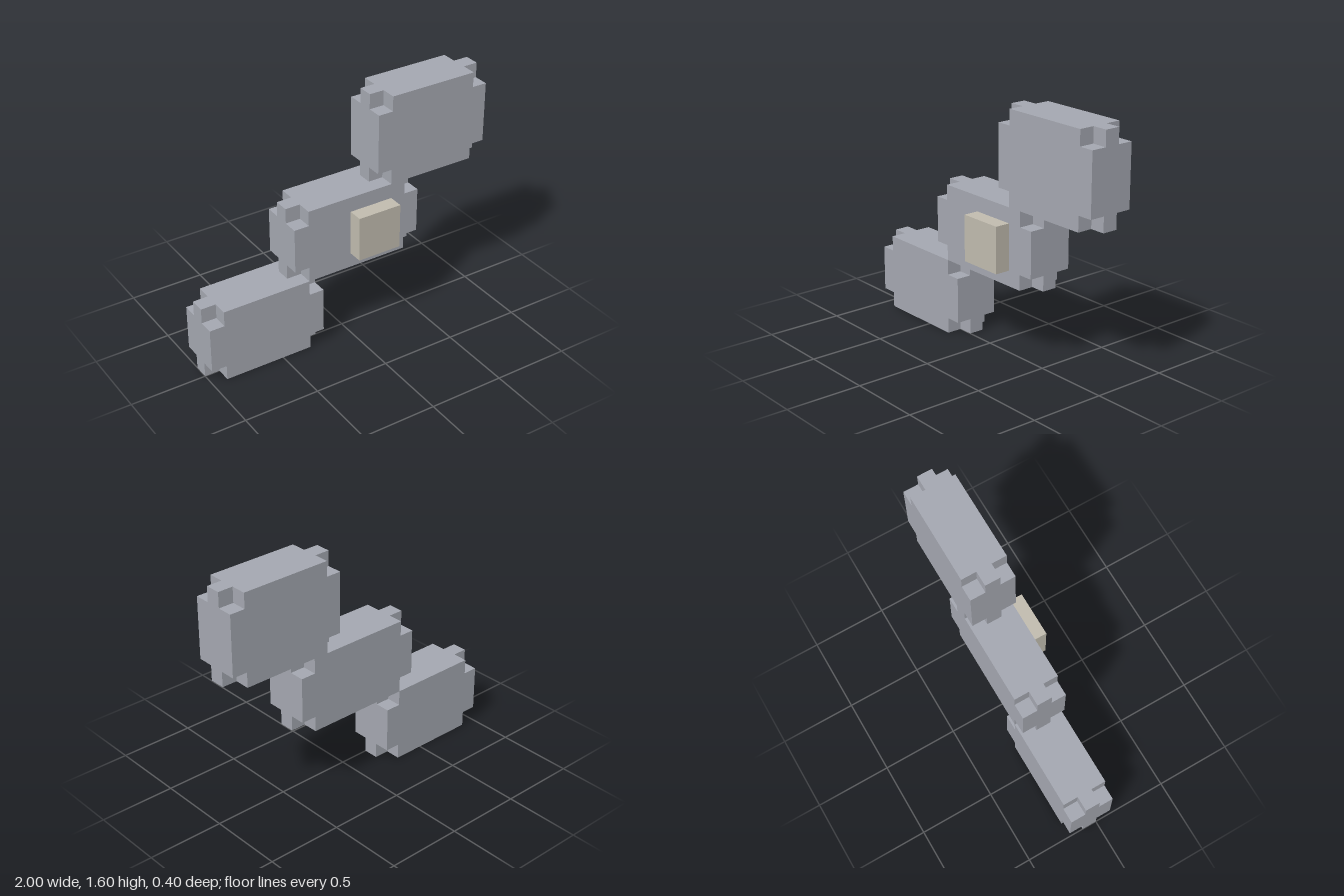
import * as THREE from 'three';
import { mergeGeometries } from 'three/addons/utils/BufferGeometryUtils.js';

const NOTCH = 0.1;

// One side of a notched block: a plus-shaped face with four recessed corner squares.
function notchedSide(w, h, offset) {
  const a = w / 2, b = h / 2, n = NOTCH;
  const plus = new THREE.Shape([
    [-a + n, -b], [a - n, -b], [a - n, -b + n], [a, -b + n],
    [a, b - n], [a - n, b - n], [a - n, b], [-a + n, b],
    [-a + n, b - n], [-a, b - n], [-a, -b + n], [-a + n, -b + n],
  ].map(([x, y]) => new THREE.Vector2(x, y)));
  const parts = [new THREE.ShapeGeometry(plus).translate(0, 0, offset)];
  for (const sx of [-1, 1]) {
    for (const sy of [-1, 1]) {
      const corner = new THREE.PlaneGeometry(n, n);
      parts.push(corner.translate(sx * (a - n / 2), sy * (b - n / 2), offset - n));
    }
  }
  return mergeGeometries(parts);
}

// Cuboid with a small cube cut out of each of its eight corners.
function notchedBlock(w, h, d) {
  const sides = [];
  for (const turn of [0, Math.PI]) {
    sides.push(notchedSide(w, h, d / 2).rotateY(turn));
    sides.push(notchedSide(d, h, w / 2).rotateY(turn + Math.PI / 2));
    sides.push(notchedSide(w, d, h / 2).rotateX(turn + Math.PI / 2));
  }
  return mergeGeometries(sides);
}

export function createModel() {
  const model = new THREE.Group();
  model.name = 'steppedBlocks';
  const grey = new THREE.MeshStandardMaterial({ color: 0xa4a7b0 });
  grey.name = 'cool grey';
  const beige = new THREE.MeshStandardMaterial({ color: 0xc0bbae });
  beige.name = 'warm beige';

  // Three blocks climbing diagonally: name, x range, y range
  const blocks = [
    ['lowerBlock', -1, -0.2, 0, 0.5],
    ['middleBlock', -0.4, 0.5, 0.5, 1],
    ['upperBlock', 0.2, 1, 1, 1.6],
  ];
  for (const [name, x0, x1, y0, y1] of blocks) {
    const block = new THREE.Mesh(notchedBlock(x1 - x0, y1 - y0, 0.3), grey);
    block.name = name;
    block.position.set((x0 + x1) / 2, (y0 + y1) / 2, -0.05);
    model.add(block);
  }

  // Raised panel on the front of the middle block
  const panel = new THREE.Mesh(new THREE.BoxGeometry(0.3, 0.3, 0.1), beige);
  panel.name = 'frontPanel';
  panel.position.set(0.15, 0.75, 0.15);
  model.add(panel);

  return model;
}
